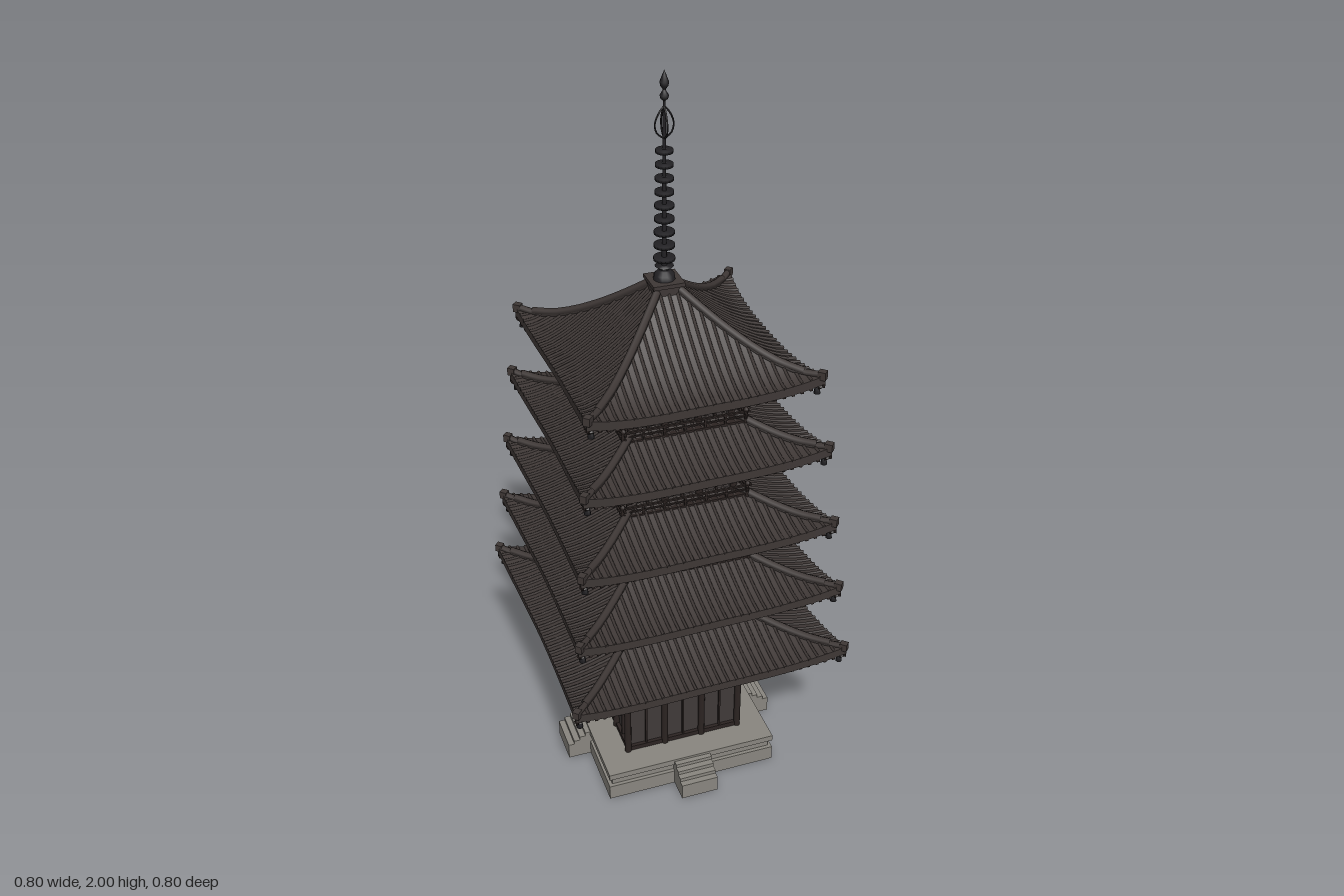
import * as THREE from 'three';
import { mergeGeometries } from 'three/addons/utils/BufferGeometryUtils.js';

const paint = (name, color) => {
  const m = new THREE.MeshStandardMaterial({ color });
  m.name = name;
  return m;
};
const lerp = THREE.MathUtils.lerp;

// Box given by its centre x, bottom y, centre z and size
const box = (x, y, z, w, h, d) => new THREE.BoxGeometry(w, h, d).translate(x, y + h / 2, z);
const post = (x, y, z, r, h) => new THREE.CylinderGeometry(r, r, h, 8).translate(x, y + h / 2, z);
// Repeats one side's geometry on all four sides
const four = (list) => list.flatMap((g) => [0, 1, 2, 3].map((k) => g.clone().rotateY(k * Math.PI / 2)));
// Square ring beam
const ring = (half, y, h, d, over = 0) => four([box(0, y, half - d / 2, 2 * (half + over), h, d)]);
const lathe = (pts, n = 12) => new THREE.LatheGeometry(pts.map((p) => new THREE.Vector2(p[0], p[1])), n);

// Grid moved by a rule: f(u in -1..1, t in 0..1) gives a point
function sheet(cols, rows, f) {
  const g = new THREE.PlaneGeometry(1, 1, cols, rows);
  const p = g.attributes.position;
  for (let i = 0; i < p.count; i++) p.setXYZ(i, ...f(p.getX(i) * 2, 0.5 - p.getY(i)));
  g.computeVertexNormals();
  return g;
}

export function createModel() {
  const model = new THREE.Group();
  const roofTile = paint('roof tile', 0x3f3836);
  const wood = paint('dark wood', 0x2c2422);
  const panel = paint('wall panel', 0x403a39);
  const stone = paint('stone', 0x8a8780);
  const plaster = paint('plaster', 0xb8b4a0);
  const metal = paint('dark metal', 0x222124);

  const add = (parent, name, mat, geos) => {
    const mesh = new THREE.Mesh(mergeGeometries(geos), mat);
    mesh.name = name;
    parent.add(mesh);
    return mesh;
  };

  // Stone platform with stairs on each side
  add(model, 'platform', stone, [
    box(0, 0, 0, 0.49, 0.045, 0.49), box(0, 0.045, 0, 0.47, 0.025, 0.47), box(0, 0.07, 0, 0.49, 0.018, 0.49),
  ]);
  const steps = [[0.31, 0.048], [0.293, 0.059], [0.276, 0.07], [0.259, 0.081]];
  add(model, 'stairs', stone, four(steps.map(([z, h]) => box(0, 0, (z + 0.2) / 2, 0.106, h, z - 0.2))));

  // Storeys: c = roof corner height, R = roof corner half width, w = wall half width
  const storeys = [
    { c: 0.487, R: 0.382, w: 0.165 }, { c: 0.685, R: 0.362, w: 0.158 }, { c: 0.885, R: 0.344, w: 0.15 },
    { c: 1.106, R: 0.325, w: 0.142 }, { c: 1.305, R: 0.304, w: 0.134 },
  ];

  function buildWalls(s, i) {
    const { c, w } = s;
    const g = new THREE.Group();
    g.name = 'storey' + (i + 1);
    model.add(g);
    const y0 = i ? storeys[i - 1].c + 0.005 : 0.088;
    const top = i ? c - 0.085 : c - 0.115;
    const H = top - y0;
    add(g, 'wallPanels', panel, [box(0, y0, 0, 2 * w - 0.012, H, 2 * w - 0.012)]);
    add(g, 'columns', wood, four([-1, -1 / 3, 1 / 3].map((k) => post(k * w, y0, w, 0.01, H))));
    const beams = [...ring(w + 0.005, top - 0.012, 0.012, 0.02), ...ring(w + 0.004, y0, 0.014, 0.02)];
    if (!i) {
      beams.push(...ring(w + 0.004, 0.31, 0.012, 0.02), ...ring(w + 0.001, 0.235, 0.006, 0.015));
      // Door and window frames
      beams.push(...four([-2 / 3, 0, 2 / 3].map((k) => box(k * w, y0, w - 0.004, 0.005, 0.22, 0.01))));
      add(g, 'plasterBand', plaster, four([-2 / 3, 0, 2 / 3].map((k) => box(k * w, 0.322, w - 0.006, 0.09, 0.03, 0.008))));
    } else {
      beams.push(...four([-2 / 3, 0, 2 / 3].map((k) => box(k * w, y0, w - 0.004, 0.006, H, 0.01))));
    }
    add(g, 'wallBeams', wood, beams);

    // Bracket tiers growing outward under the eave
    const gap = i ? 0.016 : 0.024, out = i ? 0.024 : 0.035;
    add(g, 'bracketWall', plaster, [box(0, top, 0, 2 * w - 0.01, c - 0.04 - top, 2 * w - 0.01)]);
    const brackets = [];
    for (let k = 0; k < 3; k++) {
      const y = c - 0.064 - (2 - k) * gap, half = w + (k + 1) * out;
      brackets.push(...ring(half, y, 0.008, 0.012, 0.012));
      for (const x of [-1, -1 / 3, 1 / 3, 1]) {
        brackets.push(...four([box(x * w, y - 0.006, (half + w) / 2, 0.014, 0.012, half - w + 0.01)]));
      }
      for (let b = -4; b <= 4; b++) {
        brackets.push(...four([box(b * half / 4.2, y + 0.006, half - 0.006, 0.014, gap - 0.006, 0.014)]));
      }
      // Diagonal corner arms
      const len = (half - w) * 1.42 + 0.02;
      brackets.push(...four([box(0, y - 0.006, w * 1.414 + len / 2, 0.014, 0.012, len).rotateY(Math.PI / 4)]));
    }
    add(g, 'brackets', wood, brackets);
    add(g, 'eavePlaster', plaster, ring(w + 3 * out - 0.009, c - 0.056, 0.014, 0.006));
  }

  function buildRoof(s, i) {
    const { c, R, w } = s;
    const last = i === 4;
    const g = new THREE.Group();
    g.name = 'roof' + (i + 1);
    g.rotation.y = 0.025;
    model.add(g);
    const inner = last ? 0.03 : storeys[i + 1].w - 0.01;
    const top = last ? 1.448 : c + 0.032;
    const mid = R - 0.018, low = c - 0.035;
    const eave = (x) => mid + 0.018 * (x / R) ** 2;
    const height = (x, d) => {
      const t = Math.min((d - inner) / (mid - inner), 1);
      return top - (top - low) * (1 - (1 - t) ** 1.4) + 0.033 * Math.abs(x / R) ** 3 * t;
    };
    const onRoof = (x, t) => {
      const d = lerp(Math.max(inner, Math.abs(x)), eave(x), t);
      return [x, height(x, d), d];
    };
    const edge = (x) => height(x, eave(x));
    const thick = 0.024;
    add(g, 'roofSlopes', roofTile, four([
      sheet(48, 10, (u, t) => onRoof(u * R, t)),
      sheet(48, 1, (u, t) => [u * R, edge(u * R) - t * thick, eave(u * R)]),
    ]));
    const under = (x, t) => [x, lerp(c - 0.038, edge(x) - thick, t), lerp(Math.max(w, Math.abs(x)), eave(x), t)];
    add(g, 'soffit', wood, four([sheet(48, 2, (u, t) => under(-u * R, t))]));

    // Rows of round cover tiles, with rafters below them
    const tiles = [], rafters = [];
    const n = Math.floor(R / 0.0225);
    for (let k = -n; k <= n; k++) {
      const x = k * R / (n + 0.5);
      const pts = [0, 0.2, 0.4, 0.6, 0.8, 1.01].map((t) => new THREE.Vector3(...onRoof(x, t)));
      tiles.push(new THREE.TubeGeometry(new THREE.CatmullRomCurve3(pts), 6, 0.0045, 5));
      const a = new THREE.Vector3(...under(x, 0)), b = new THREE.Vector3(...under(x, 0.97));
      const len = a.distanceTo(b);
      rafters.push(new THREE.BoxGeometry(0.008, 0.008, len)
        .rotateX(-Math.atan2(b.y - a.y, b.z - a.z)).translate(x, (a.y + b.y) / 2 - 0.002, (a.z + b.z) / 2));
    }
    add(g, 'coverTiles', roofTile, four(tiles));
    add(g, 'rafters', wood, four(rafters));

    // Hip ridges: a long low one and a shorter one on top
    const hip = (end, lift, r) => {
      const pts = [0, 0.2, 0.4, 0.6, 0.8, 1].map((t) => {
        const d = lerp(inner, end, t);
        return new THREE.Vector3(d, height(d, d) + lift, d);
      });
      return new THREE.TubeGeometry(new THREE.CatmullRomCurve3(pts), 10, r, 6);
    };
    add(g, 'hipRidges', roofTile, four([hip(R, 0.002, 0.009), hip(lerp(inner, R, 0.86), 0.008, 0.01)]));
    const tip = box(0, c - 0.014, R * 1.414 - 0.008, 0.018, 0.022, 0.02).rotateY(Math.PI / 4);
    add(g, 'hipEnds', roofTile, four([tip]));

    // Wind bells
    const bell = lathe([[0, -0.03], [0.009, -0.03], [0.006, -0.012], [0, -0.008]], 8);
    const hook = post(0, -0.012, 0, 0.002, 0.02);
    add(g, 'windBells', metal, four([bell, hook].map((b) => b.translate(R - 0.014, c - 0.026, R - 0.014))));
  }

  // Balcony railing around an upper storey
  function buildBalcony(s, next, i) {
    const h = next.w + 0.028, y = s.c;
    const geos = [...ring(h, y + 0.014, 0.006, 0.03), ...ring(h, y + 0.03, 0.004, 0.005, 0.008), ...ring(h, y + 0.042, 0.005, 0.006, 0.012)];
    geos.push(...four([-2 / 3, -1 / 3, 0, 1 / 3, 2 / 3].map((k) => box(k * h, y, h - 0.003, 0.005, 0.045, 0.005))));
    geos.push(...four([post(h, y, h, 0.005, 0.05), new THREE.SphereGeometry(0.007, 8, 6).translate(h, y + 0.052, h)]));
    add(model, 'balcony' + (i + 2), wood, geos);
  }

  storeys.forEach((s, i) => {
    buildWalls(s, i);
    buildRoof(s, i);
    if (i < 4) buildBalcony(s, storeys[i + 1], i);
  });

  // Spire: square base, bowl, mast with nine rings, openwork flame and jewels
  const spire = new THREE.Group();
  spire.name = 'spire';
  model.add(spire);
  add(spire, 'spireBase', roofTile, [box(0, 1.435, 0, 0.07, 0.03, 0.07), box(0, 1.465, 0, 0.082, 0.01, 0.082)]);
  add(spire, 'bowl', metal, [lathe([[0.028, 1.474], [0.026, 1.488], [0.016, 1.498], [0.01, 1.5], [0.024, 1.51], [0, 1.512]])]);
  add(spire, 'mast', metal, [new THREE.CylinderGeometry(0.003, 0.007, 0.5, 8).translate(0, 1.73, 0)]);
  const rings = [];
  for (let k = 0; k < 9; k++) {
    const r = 0.027 - k * 0.0007, y = 1.53 + k * 0.0345;
    rings.push(lathe([[0.005, y - 0.004], [r, y - 0.004], [r, y + 0.004], [0.005, y + 0.004]], 16));
  }
  add(spire, 'rings', metal, rings);
  const loop = new THREE.CatmullRomCurve3([[0, 1.835], [0.018, 1.85], [0.023, 1.872], [0.014, 1.897], [0, 1.915]]
    .map(([x, y]) => new THREE.Vector3(x, y, 0)));
  add(spire, 'flame', metal, four([new THREE.TubeGeometry(loop, 12, 0.0022, 5)]));
  add(spire, 'jewels', metal, [
    lathe([[0, 1.925], [0.009, 1.932], [0.011, 1.94], [0.005, 1.95], [0.003, 1.956]]),
    lathe([[0.003, 1.954], [0.01, 1.963], [0.011, 1.972], [0.005, 1.988], [0, 2]]),
  ]);
  return model;
}
